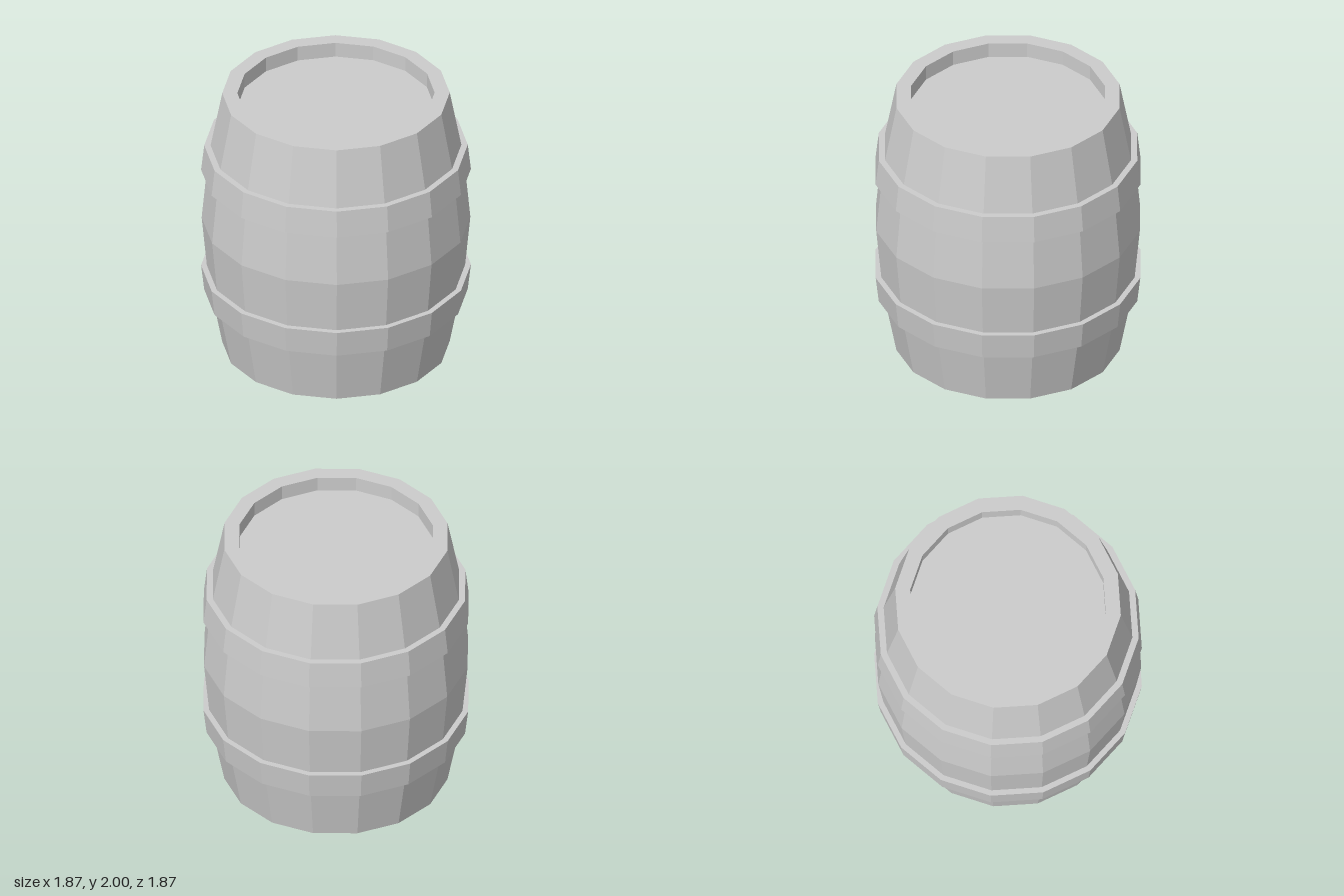
import * as THREE from 'three';

const SIDES = 16;

// Revolve a profile of [radius, height] pairs, listed bottom to top along the outside
function turned(name, profile) {
  const points = profile.map(([r, y]) => new THREE.Vector2(r, y));
  const material = new THREE.MeshStandardMaterial({ color: 0xcccccc, flatShading: true });
  const mesh = new THREE.Mesh(new THREE.LatheGeometry(points, SIDES), material);
  mesh.name = name;
  return mesh;
}

export function createModel() {
  const group = new THREE.Group();
  group.name = 'barrel';

  // Lower half of the body: recessed head, rim, bulging staves; mirrored for the upper half
  const lower = [[0, 0.11], [0.685, 0.11], [0.685, 0], [0.79, 0], [0.886, 0.5]];
  const upper = lower.map(([r, y]) => [r, 2 - y]).reverse();
  group.add(turned('barrelBody', [...lower, [0.933, 1], ...upper]));

  // Hoops: closed bands, wider towards the middle of the barrel
  const hoop = [[0.86, 0.42], [0.915, 0.42], [0.937, 0.615], [0.86, 0.615], [0.86, 0.42]];
  group.add(turned('lowerHoop', hoop));
  group.add(turned('upperHoop', hoop.map(([r, y]) => [r, 2 - y]).reverse()));

  return group;
}
